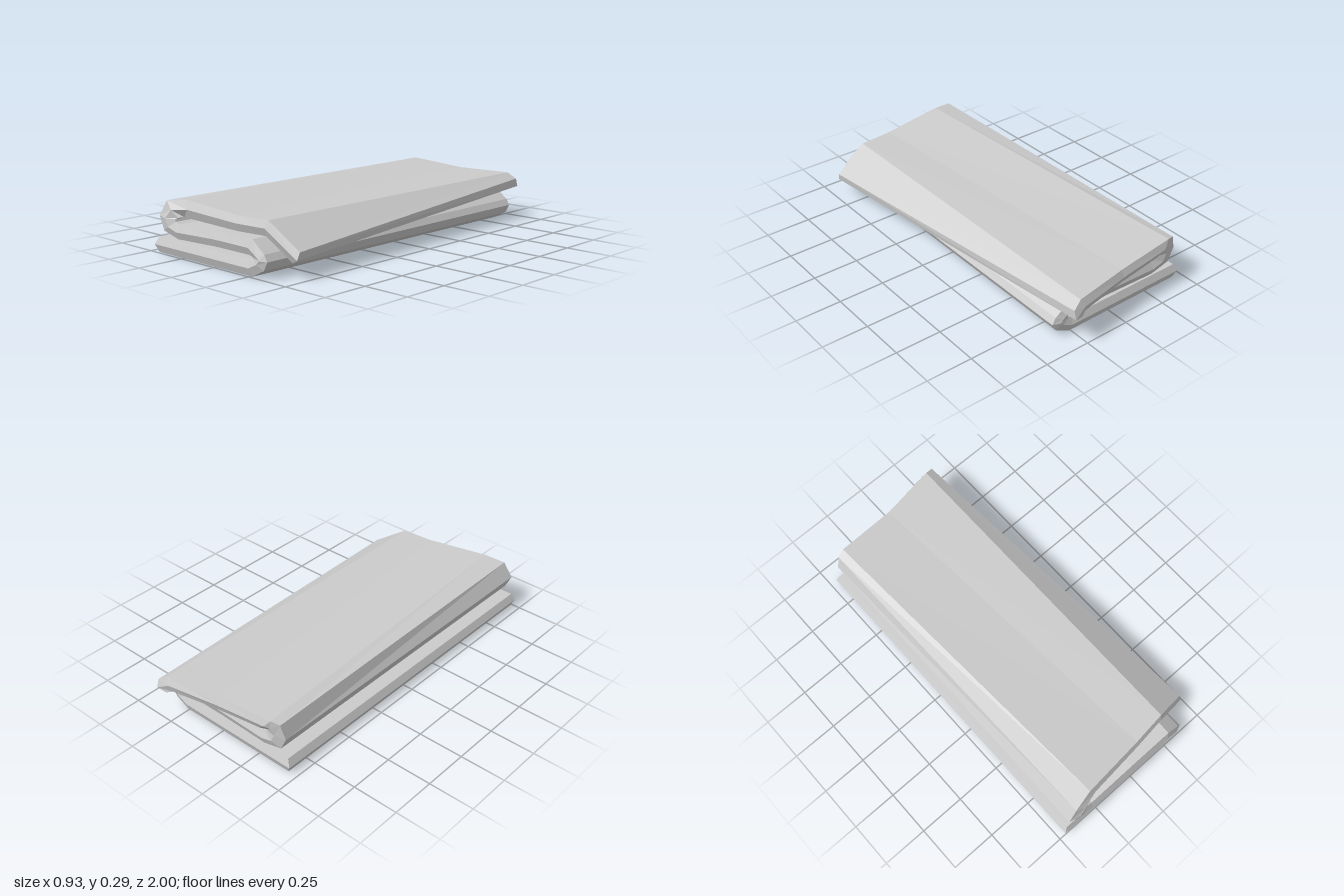
import * as THREE from 'three';

// Stations along the folded sheet, at its front end.
// Each: one face (x, y), rim ridge (x, y), other face (x, y), front z, back z
const STATIONS = [
  [-0.445, 0, -0.465, 0.04, -0.445, 0.08, 1, -0.89], // bottom layer
  [0.26, 0, 0.25, 0.04, 0.245, 0.08, 1, -0.89],
  [0.34, 0.04, 0.305, 0.066, 0.262, 0.084, 1, -0.89], // right fold
  [0.365, 0.085, 0.325, 0.086, 0.268, 0.09, 1, -0.89],
  [0.345, 0.118, 0.31, 0.1, 0.263, 0.094, 1, -0.89],
  [0.265, 0.178, 0.25, 0.137, 0.245, 0.1, 1, -0.89], // middle layer
  [0, 0.178, 0, 0.138, 0, 0.1, 1, -0.89],
  [-0.28, 0.165, -0.285, 0.127, -0.29, 0.09, 1, -0.89],
  [-0.305, 0.175, -0.35, 0.145, -0.4, 0.117, 1, -0.89], // left fold
  [-0.31, 0.187, -0.37, 0.187, -0.435, 0.19, 1, -0.89],
  [-0.3, 0.194, -0.335, 0.232, -0.385, 0.272, 0.99, -0.9],
  [-0.28, 0.197, -0.24, 0.242, -0.27, 0.288, 0.965, -0.915], // top layer
  [0.09, 0.178, 0.09, 0.218, 0.09, 0.255, 0.935, -0.935],
  [0.265, 0.178, 0.27, 0.217, 0.28, 0.255, 0.915, -0.985],
  [0.415, 0.07, 0.46, 0.09, 0.465, 0.13, 0.89, -1], // hanging flap
];

// Back-end sections that differ because the top layer lies askew
const BACK = {
  10: [-0.305, 0.194, -0.355, 0.232, -0.41, 0.27],
  11: [-0.29, 0.2, -0.33, 0.24, -0.365, 0.282],
  12: [-0.03, 0.18, -0.03, 0.217, -0.03, 0.256],
  13: [0.245, 0.175, 0.26, 0.213, 0.28, 0.253],
  14: [0.28, 0.16, 0.33, 0.175, 0.33, 0.22],
};

const BEVEL = 0.015;

function foldedSheet() {
  const pos = [];
  const index = [];
  const quad = (a, b, c, d) => index.push(a, b, c, a, c, d);

  // Six-cornered ring per station: over the front rim, under, over the back rim
  STATIONS.forEach((s, i) => {
    const b = BACK[i] ?? s;
    const [zf, zb] = [s[6], s[7]];
    pos.push(s[4], s[5], zf - BEVEL, s[2], s[3], zf, s[0], s[1], zf - BEVEL);
    pos.push(b[0], b[1], zb + BEVEL, b[2], b[3], zb, b[4], b[5], zb + BEVEL);
  });

  // Skin between neighbouring rings
  const last = STATIONS.length - 1;
  for (let i = 0; i < last; i++) {
    for (let j = 0; j < 6; j++) {
      const k = (j + 1) % 6;
      quad(i * 6 + j, i * 6 + k, i * 6 + 6 + k, i * 6 + 6 + j);
    }
  }

  // Ridged long edges at both ends of the sheet
  const e = last * 6;
  quad(0, 5, 4, 1);
  quad(1, 4, 3, 2);
  quad(e, e + 1, e + 4, e + 5);
  quad(e + 1, e + 2, e + 3, e + 4);

  const geo = new THREE.BufferGeometry();
  geo.setAttribute('position', new THREE.Float32BufferAttribute(pos, 3));
  geo.setIndex(index);
  const flat = geo.toNonIndexed();
  flat.computeVertexNormals();
  return flat;
}

export function createModel() {
  const group = new THREE.Group();
  group.name = 'foldedTowel';
  const material = new THREE.MeshStandardMaterial({ color: 0xcccccc, flatShading: true });
  const towel = new THREE.Mesh(foldedSheet(), material);
  towel.name = 'foldedCloth';
  group.add(towel);
  return group;
}
